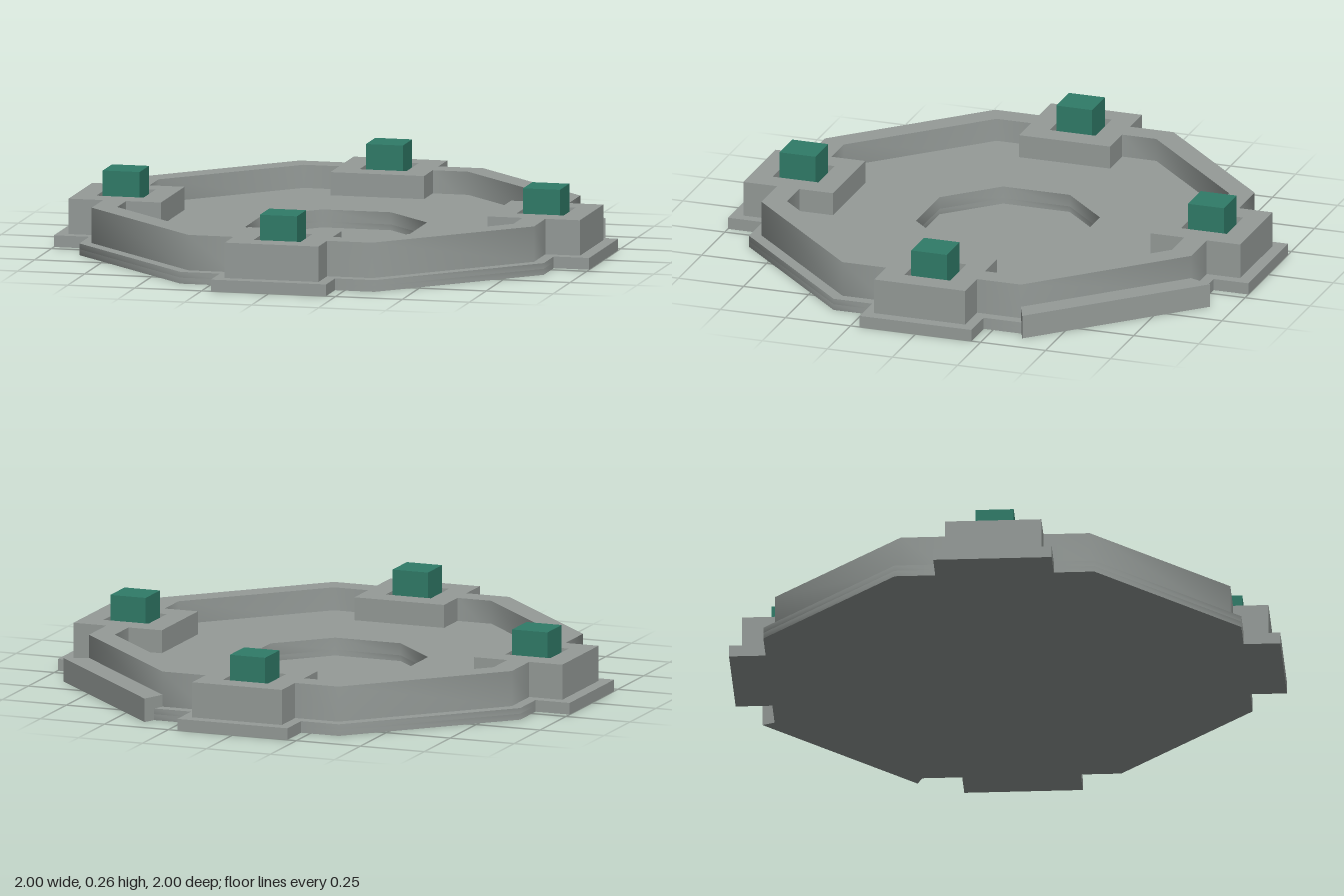
import * as THREE from 'three';
import { toCreasedNormals } from 'three/addons/utils/BufferGeometryUtils.js';

const stone = new THREE.MeshStandardMaterial({ color: 0x959b98 });
const green = new THREE.MeshStandardMaterial({ color: 0x307b68 });

// Octagon points, counter-clockwise, one quarter repeated four times
function quarters(pts) {
  const out = [];
  for (let q = 0; q < 4; q++) {
    const c = Math.round(Math.cos(q * Math.PI / 2)), s = Math.round(Math.sin(q * Math.PI / 2));
    for (const [x, y] of pts) out.push(new THREE.Vector2(c * x - s * y, s * x + c * y));
  }
  return out;
}

const octagon = (apothem, half) => quarters([[apothem, -half], [apothem, half]]);

// Octagon whose four straight sides step out (or in) to "reach"
const steppedOctagon = (apothem, half, armHalf, reach) => quarters([
  [apothem, -half], [apothem, -armHalf], [reach, -armHalf],
  [reach, armHalf], [apothem, armHalf], [apothem, half],
]);

// Horizontal slab between two heights; 45 degree corners are smooth, square ones sharp
function slab(name, outline, y0, y1, holes = []) {
  const shape = new THREE.Shape(outline);
  for (const h of holes) shape.holes.push(new THREE.Path(h));
  const geo = new THREE.ExtrudeGeometry(shape, { depth: y1 - y0, bevelEnabled: false });
  geo.rotateX(-Math.PI / 2).translate(0, y0, 0);
  const mesh = new THREE.Mesh(toCreasedNormals(geo, 0.9), stone);
  mesh.name = name;
  return mesh;
}

export function createModel() {
  const model = new THREE.Group();
  model.name = 'octagonalPlatform';

  const baseOutline = steppedOctagon(0.867, 0.362, 0.215, 1);
  const pit = octagon(0.308, 0.128);
  const towers = [[0.785, 0], [0, 0.785], [-0.785, 0], [0, -0.785]];
  const sockets = towers.map(([x, y]) =>
    [[-1, -1], [1, -1], [1, 1], [-1, 1]].map(([a, b]) => new THREE.Vector2(x + a * 0.088, y + b * 0.088)));

  // Base with a sunken centre
  model.add(slab('baseBottom', baseOutline, 0, 0.022));
  model.add(slab('basePlate', baseOutline, 0.022, 0.043, [pit]));
  model.add(slab('innerFloor', octagon(0.76, 0.315), 0.043, 0.088, [pit]));

  // Surrounding wall with four blocks and their sockets
  const inner = steppedOctagon(0.74, 0.307, 0.175, 0.61);
  model.add(slab('wall', steppedOctagon(0.826, 0.343, 0.175, 0.955), 0.043, 0.173, [inner, ...sockets]));

  // Green cubes standing in the sockets
  towers.forEach(([x, z], i) => {
    model.add(slab('socketFloor' + i, sockets[i], 0.043, 0.125));
    const cube = new THREE.Mesh(new THREE.BoxGeometry(0.138, 0.138, 0.138), green);
    cube.position.set(x, 0.194, z);
    cube.name = 'cube' + i;
    model.add(cube);
  });

  // Doorstep on the back-left diagonal side
  const step = [[0.826, 0.343], [0.912, 0.379], [0.379, 0.912], [0.343, 0.826]];
  model.add(slab('doorstep', step.map(([x, y]) => new THREE.Vector2(x, y)), 0, 0.087));

  return model;
}
